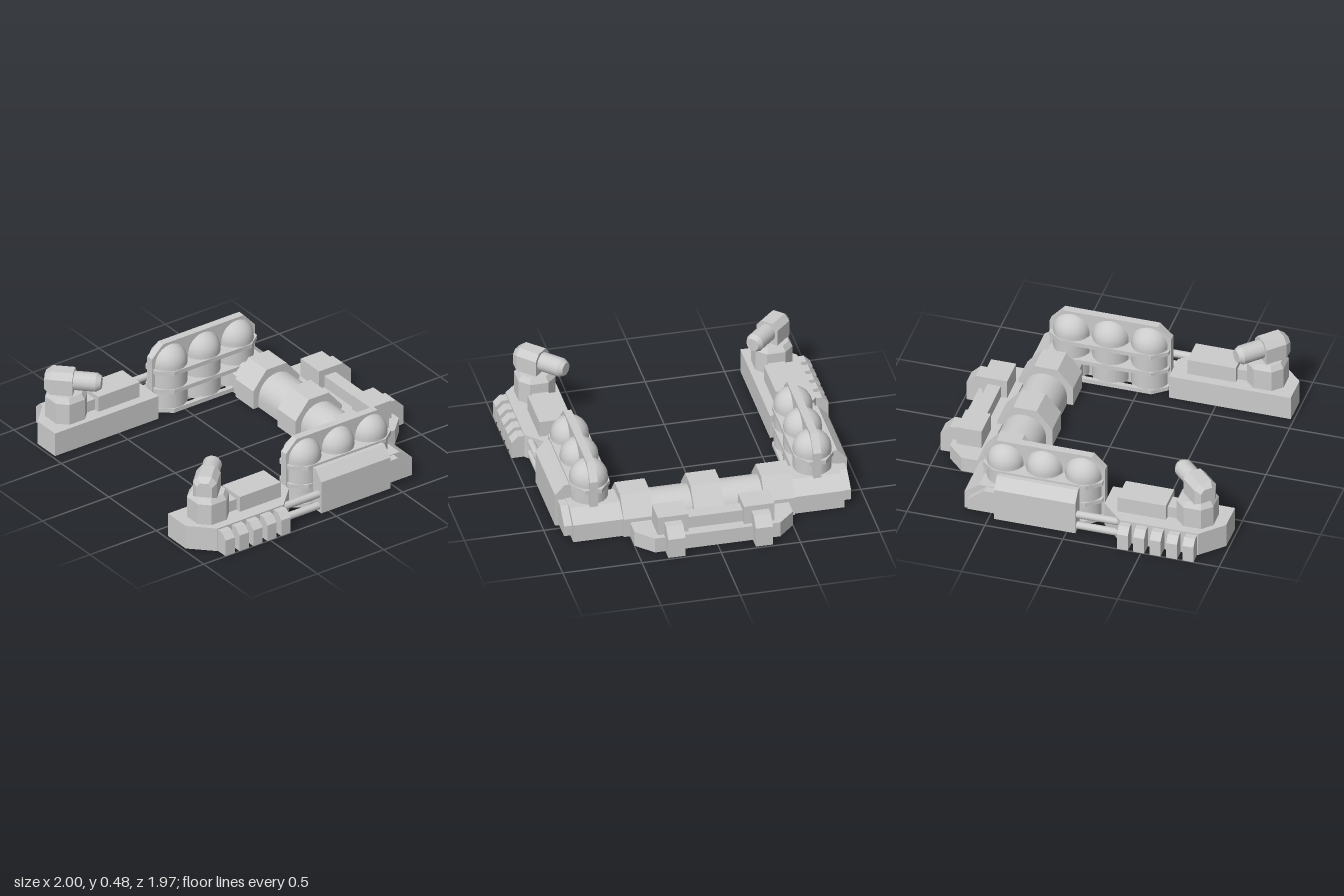
import * as THREE from 'three';
import { toCreasedNormals } from 'three/addons/utils/BufferGeometryUtils.js';

const material = new THREE.MeshStandardMaterial({ color: 0xcccccc, side: THREE.DoubleSide });

function add(parent, name, geometry) {
  const mesh = new THREE.Mesh(geometry, material);
  mesh.name = name;
  parent.add(mesh);
  return mesh;
}

function extrude(points, depth, hole) {
  const shape = new THREE.Shape(points.map(p => new THREE.Vector2(...p)));
  if (hole) shape.holes.push(new THREE.Path(hole.map(p => new THREE.Vector2(...p))));
  return new THREE.ExtrudeGeometry(shape, { depth, bevelEnabled: false });
}

// Outline in [x, z], raised from y0 to y1
function prismY(points, y0, y1, hole) {
  const flip = list => list && list.map(([x, z]) => [x, -z]);
  return extrude(flip(points), y1 - y0, flip(hole)).rotateX(-Math.PI / 2).translate(0, y0, 0);
}

// Profile in [z, y], running from x0 to x1
function prismX(points, x0, x1) {
  return extrude(points.map(([z, y]) => [-z, y]), x1 - x0).rotateY(Math.PI / 2).translate(x0, 0, 0);
}

// Profile in [x, y], running from z0 to z1
function prismZ(points, z0, z1) {
  return extrude(points, z1 - z0).translate(0, 0, z0);
}

function box(x0, x1, y0, y1, z0, z1) {
  return new THREE.BoxGeometry(x1 - x0, y1 - y0, z1 - z0)
    .translate((x0 + x1) / 2, (y0 + y1) / 2, (z0 + z1) / 2);
}

// Rectangle with cut corners
function cutRect(x0, x1, z0, z1, cx, cz = cx) {
  return [[x0 + cx, z0], [x1 - cx, z0], [x1, z0 + cz], [x1, z1 - cz],
    [x1 - cx, z1], [x0 + cx, z1], [x0, z1 - cz], [x0, z0 + cz]];
}

function inset(points, k) {
  const c = [0, 1].map(i => points.reduce((s, p) => s + p[i], 0) / points.length);
  return points.map(p => p.map((v, i) => c[i] + (v - c[i]) * k));
}

// Deck with walls, open underneath
function deck(parent, name, outline, height) {
  add(parent, name + 'Walls', prismY(outline, 0, height - 0.01, inset(outline, 0.96)));
  add(parent, name + 'Top', prismY(outline, height - 0.01, height));
}

// Pull in everything above a given height
function taper(geometry, y, cx, cz, k) {
  const p = geometry.attributes.position;
  for (let i = 0; i < p.count; i++) {
    if (p.getY(i) > y) p.setXYZ(i, cx + (p.getX(i) - cx) * k, p.getY(i), cz + (p.getZ(i) - cz) * k);
  }
  geometry.computeVertexNormals();
  return geometry;
}

// Mirrored copy across x with the corner order restored
function mirrored(source, name) {
  const group = new THREE.Group();
  group.name = name;
  source.updateMatrixWorld(true);
  source.traverse(o => {
    if (!o.isMesh) return;
    let g = o.geometry.clone().applyMatrix4(o.matrixWorld).scale(-1, 1, 1);
    if (g.index) g = g.toNonIndexed();
    for (const a of Object.values(g.attributes)) {
      const n = a.itemSize;
      for (let i = 0; i < a.count; i += 3) {
        for (let j = 0; j < n; j++) {
          const b = (i + 1) * n + j, c = (i + 2) * n + j;
          [a.array[b], a.array[c]] = [a.array[c], a.array[b]];
        }
      }
    }
    add(group, o.name, g);
  });
  return group;
}

function createTurret() {
  const turret = new THREE.Group();
  turret.name = 'turret';
  const foot = cutRect(0.63, 0.865, 0.67, 0.905, 0.06);
  add(turret, 'turretBase', prismY(foot, 0.16, 0.3));
  add(turret, 'turretBaseBevel', taper(prismY(foot, 0.3, 0.335), 0.32, 0.748, 0.788, 0.82));

  const head = new THREE.Group();
  head.name = 'turretHead';
  head.position.set(0.765, 0, 0.81);
  head.rotation.y = Math.PI * 0.75;
  const section = [[-0.075, 0.335], [0.075, 0.335], [0.075, 0.44], [0.04, 0.48], [-0.04, 0.48], [-0.075, 0.44]];
  add(head, 'headBody', prismX(section, -0.06, 0.08));
  // Bevelled rear of the head
  const rear = prismX(section, -0.1, -0.06);
  const p = rear.attributes.position;
  for (let i = 0; i < p.count; i++) {
    if (p.getX(i) < -0.08) p.setXYZ(i, p.getX(i), 0.4 + (p.getY(i) - 0.4) * 0.65, p.getZ(i) * 0.65);
  }
  rear.computeVertexNormals();
  add(head, 'headRear', rear);
  add(head, 'barrel', new THREE.CylinderGeometry(0.06, 0.06, 0.16, 14).rotateZ(-Math.PI / 2).translate(0.14, 0.408, 0));
  add(head, 'barrelTip', new THREE.CylinderGeometry(0.042, 0.06, 0.03, 14).rotateZ(-Math.PI / 2).translate(0.235, 0.408, 0));
  turret.add(head);
  return turret;
}

function createSide() {
  const side = new THREE.Group();
  side.name = 'leftArm';

  // Front platform with its turret
  deck(side, 'platform', [[0.595, 0.2], [0.78, 0.2], [0.92, 0.34], [0.92, 0.84], [0.78, 0.98], [0.595, 0.98]], 0.16);
  add(side, 'platformBox', box(0.655, 0.835, 0.16, 0.265, 0.3, 0.61));
  add(side, 'platformStep', box(0.69, 0.8, 0.16, 0.235, 0.61, 0.68));
  side.add(createTurret());
  for (let i = 0; i < 5; i++) {
    const z = 0.345 + i * 0.105;
    add(side, 'rib', prismZ([[0.91, 0], [1, 0], [1, 0.11], [0.96, 0.15], [0.91, 0.15]], z, z + 0.07));
  }

  // Twin rods between platform and side panel
  for (const y of [0.04, 0.122]) {
    add(side, 'rod', new THREE.CapsuleGeometry(0.024, 0.3, 4, 12).rotateX(Math.PI / 2).translate(0.885, y, 0.16));
  }

  // Row of domed tanks
  for (let i = 0; i < 3; i++) {
    const profile = [new THREE.Vector2(0.12, 0.02), new THREE.Vector2(0.12, 0.2)];
    for (let j = 0; j <= 8; j++) {
      const a = j / 8 * Math.PI / 2;
      profile.push(new THREE.Vector2(0.12 * Math.cos(a), 0.32 + 0.12 * Math.sin(a)));
    }
    add(side, 'tank', new THREE.LatheGeometry(profile, 20).translate(0.705, 0, -0.45 + i * 0.25));
  }
  const band = cutRect(0.582, 0.83, -0.585, 0.18, 0.07, 0.09);
  add(side, 'upperBand', prismY(band, 0.272, 0.3));
  add(side, 'middleBand', prismY(band, 0.145, 0.172));
  add(side, 'lowerBand', prismY(band, 0.01, 0.038, cutRect(0.61, 0.8, -0.555, 0.15, 0.055, 0.08)));
  add(side, 'tankFin', prismX([[0.188, 0], [0.188, 0.375], [0.105, 0.455], [-0.505, 0.455], [-0.59, 0.36], [-0.59, 0]], 0.68, 0.73));

  // Outer side panel
  add(side, 'sidePanel', prismZ([[0.83, 0], [0.92, 0], [0.92, 0.22], [0.86, 0.285], [0.83, 0.285]], -0.465, 0.055));

  // Rear corner beam and its end plate
  add(side, 'cornerBeam', prismX([[-0.36, 0], [-0.36, 0.13], [-0.43, 0.19], [-0.58, 0.19], [-0.675, 0.12], [-0.675, 0]], 0.52, 0.855));
  add(side, 'cornerPlate', prismX([[-0.44, 0.03], [-0.44, 0.185], [-0.535, 0.185], [-0.64, 0.1], [-0.64, 0.03]], 0.84, 0.905));

  // Rear equipment box and post
  add(side, 'rearBox', box(0.175, 0.368, 0.02, 0.225, -0.87, -0.71));
  add(side, 'rearPost', prismX([[-0.82, 0], [-0.82, 0.19], [-0.925, 0.19], [-0.985, 0.13], [-0.985, 0]], 0.222, 0.33));
  return side;
}

export function createModel() {
  const model = new THREE.Group();
  model.name = 'dockFrame';
  const left = createSide();
  model.add(left, mirrored(left, 'rightArm'));

  // Rounded cross beam with faceted collars
  const arc = [[-0.38, 0]];
  for (let i = 0; i <= 16; i++) {
    const a = i / 16 * Math.PI;
    arc.push([-0.52 + 0.14 * Math.cos(a), 0.06 + 0.14 * Math.sin(a)]);
  }
  arc.push([-0.66, 0]);
  add(model, 'crossBeam', toCreasedNormals(prismX(arc, -0.54, 0.54), 0.6));
  const collar = [[-0.34, 0], [-0.34, 0.125], [-0.44, 0.245], [-0.59, 0.245], [-0.69, 0.125], [-0.69, 0]];
  for (const x of [-0.445, 0, 0.445]) add(model, 'collar', prismX(collar, x - 0.095, x + 0.095));

  // Rear platform
  deck(model, 'rearDeck', [[-0.5, -0.66], [0.5, -0.66], [0.5, -0.8], [0.395, -0.905], [-0.395, -0.905], [-0.5, -0.8]], 0.1);
  add(model, 'rearBar', box(-0.18, 0.18, 0.09, 0.18, -0.835, -0.75));
  return model;
}
